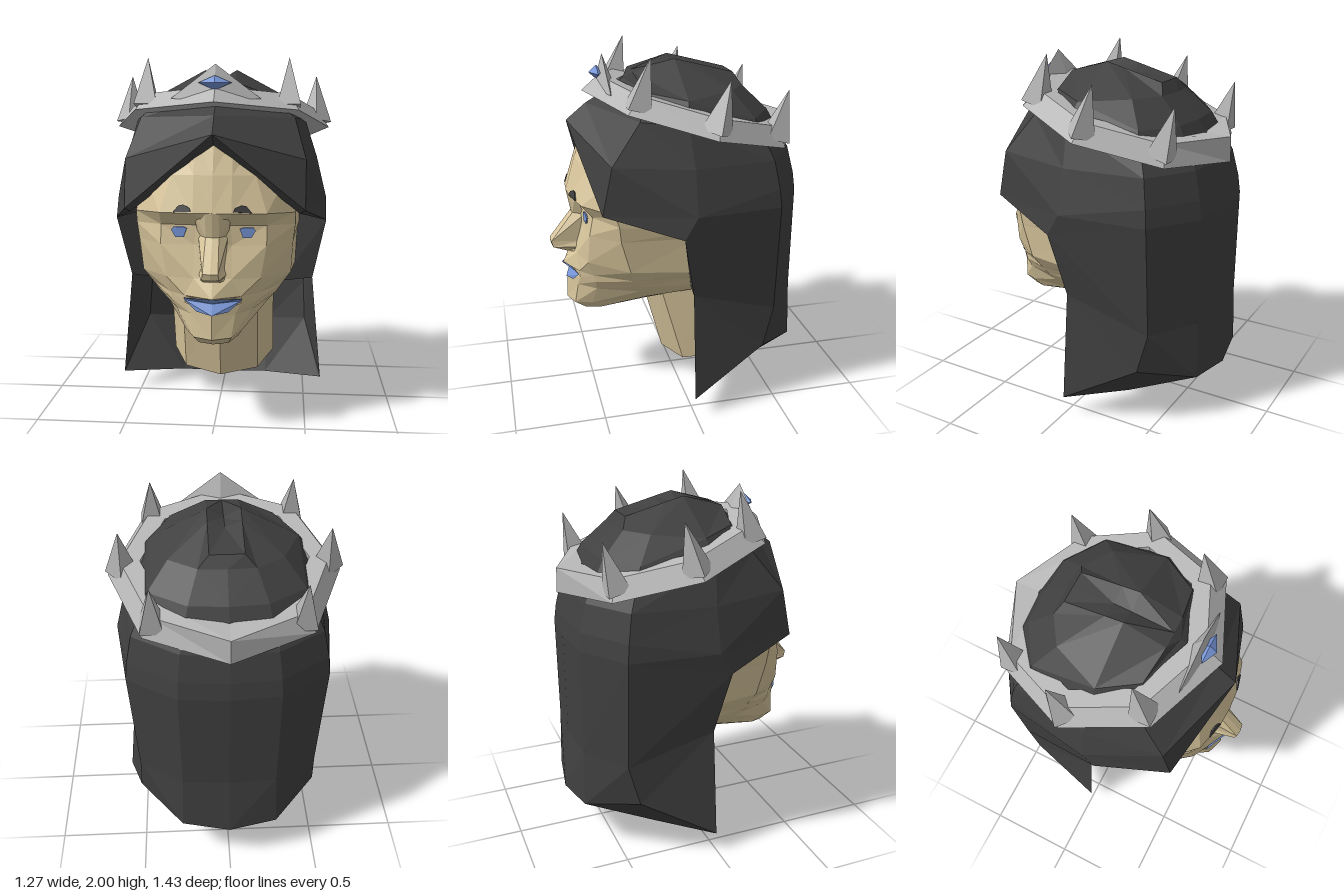
import * as THREE from 'three';

const mat = (name, color) => {
  const m = new THREE.MeshStandardMaterial({ color, flatShading: true, side: THREE.DoubleSide });
  m.name = name;
  return m;
};

// Surface through rows of half cross-sections [x, y, z], mirrored across x = 0
function mirrorLoft(rows, flip = false) {
  const full = rows.map(r => [...r.slice(1).reverse().map(([x, y, z]) => [-x, y, z]), ...r]);
  const pos = [];
  const tri = (a, b, c) => pos.push(...a, ...(flip ? c : b), ...(flip ? b : c));
  for (let i = 0; i < full.length - 1; i++) {
    for (let j = 0; j < full[i].length - 1; j++) {
      const a = full[i][j], b = full[i][j + 1], c = full[i + 1][j + 1], d = full[i + 1][j];
      if (j < rows[i].length - 1) { tri(a, d, c); tri(a, c, b); } else { tri(a, d, b); tri(b, d, c); }
    }
  }
  const g = new THREE.BufferGeometry();
  g.setAttribute('position', new THREE.Float32BufferAttribute(pos, 3));
  g.computeVertexNormals();
  return g;
}

// Thin plate cut from a small outline
function plate(points) {
  const shape = new THREE.Shape(points.map(p => new THREE.Vector2(...p)));
  return new THREE.ExtrudeGeometry(shape, { depth: 0.008, bevelEnabled: false });
}

// One face row: centre depth, three points outward, then the side; the row rises towards the back
function faceRow([y, rise, zc, x1, z1, x2, z2, x3, z3]) {
  return [[0, zc], [x1, z1], [x2, z2], [x3, z3], [x3 + .03, -.05]]
    .map(([x, z]) => [x, y + rise * (zc - z), z]);
}

// Rear half of a hair ring at height y, scaled by s
const hairBack = (y, s) => [[0, -.68], [.27, -.66], [.54, -.48]].map(([x, z]) => [x * s, y, z * s]);

export function createModel() {
  const model = new THREE.Group();
  const skin = mat('skin', 0xd8c69c);
  const dark = mat('dark hair', 0x404040);
  const silver = mat('silver', 0xb8b8b8);
  const blue = mat('blue', 0x7796d8);
  const add = (name, geometry, material, parent = model) => {
    const mesh = new THREE.Mesh(geometry, material);
    mesh.name = name;
    parent.add(mesh);
    return mesh;
  };

  // Face: hairline, forehead, brow, eye, cheekbone, cheek, lips, chin and jaw, closed below
  const faceRows = [
    [1.6, -.3, .48, .1, .46, .22, .4, .34, .28],
    [1.4, -.1, .555, .1, .545, .22, .505, .38, .38],
    [1.21, -.1, .61, .1, .605, .28, .56, .43, .4],
    [1.14, -.1, .57, .09, .53, .28, .5, .43, .38],
    [1.03, 0, .56, .1, .53, .28, .52, .42, .37],
    [.86, -.06, .59, .1, .575, .25, .53, .41, .32],
    [.765, 0, .645, .15, .57, .23, .5, .36, .29],
    [.728, -.04, .59, .15, .565, .23, .49, .33, .27],
    [.67, -.02, .625, .12, .577, .2, .48, .285, .25],
    [.54, .12, .63, .1, .595, .15, .5, .215, .22],
    [.49, .22, .55, .08, .53, .13, .45, .18, .2],
  ].map(faceRow);
  const underJaw = faceRows.at(-1).map(([, y, z]) => [0, y, z]);
  add('face', mirrorLoft([...faceRows, underJaw]), skin);

  // Nose: ridge half-width and depth, then base half-width and depth, closed below
  const noseRows = [
    [1.21, .035, .606, .1, .57],
    [1.08, .035, .582, .08, .52],
    [.915, .04, .71, .065, .54],
    [.88, .045, .7, .075, .56],
    [.85, .04, .62, .07, .57],
    [.85, .04, .575, .06, .57],
  ].map(([y, rx, rz, bx, bz]) => [[0, y, rz + .005], [rx, y, rz], [bx, y, bz]]);
  add('nose', mirrorLoft(noseRows), skin);

  // Lips: the upper one faces down, the lower one faces up
  const mouthLine = [[0, .728, .598], [.15, .742, .575]];
  add('upperLip', mirrorLoft([[[0, .766, .653], [.155, .754, .577]], mouthLine]), blue);
  add('lowerLip', mirrorLoft([mouthLine, [[0, .672, .631], [.085, .687, .6]]]), blue);

  // Eyes and brows
  const eye = plate([[-.042, .018], [-.02, .025], [.03, .024], [.042, .008], [.02, -.03], [-.025, -.028]]);
  const brow = plate([[-.048, -.01], [-.038, .012], [-.008, .028], [.02, .024], [.05, -.01]]);
  for (const s of [1, -1]) {
    const e = add('eye', eye, blue);
    e.position.set(s * .18, 1.1, .523);
    e.rotation.y = s * .1;
    e.scale.x = s;
    const b = add('brow', brow, dark);
    b.position.set(s * .155, 1.222, .585);
    b.rotation.set(-.3, s * .24, 0);
    b.scale.x = s;
  }

  // Neck: eight-sided column leaning forward, with a slanted base
  const neckShape = new THREE.CylinderGeometry(.31, .31, .5, 8);
  const np = neckShape.attributes.position;
  for (let i = 0; i < np.count; i++) {
    const top = np.getY(i) > 0, z = np.getZ(i) * .9;
    np.setXYZ(i, np.getX(i), top ? .66 : .205 - z * .27, z + (top ? -.08 : -.22));
  }
  neckShape.computeVertexNormals();
  add('neck', neckShape, skin);

  // Hair cap: rings from the parting down, each from back centre round to front centre
  const ridge = [[0, 1.85, -.33], [.09, 1.85, -.33], [.09, 1.91, -.1], [.09, 1.935, 0], [.09, 1.87, .23], [0, 1.83, .27]];
  const valley = ridge.map(([, y, z]) => [0, Math.min(y, 1.88), z]);
  const ear = [.61, 1.09, .07];
  add('hairCap', mirrorLoft([
    valley,
    ridge,
    [...hairBack(1.79, .55), [.4, 1.77, 0], [.28, 1.8, .2], [0, 1.79, .32]],
    [...hairBack(1.66, .75), [.48, 1.66, .02], [.42, 1.68, .26], [0, 1.7, .48]],
    [...hairBack(1.45, .925), [.55, 1.45, 0], [.48, 1.47, .42], [0, 1.61, .59]],
    [...hairBack(1.3, .98), [.61, 1.21, 0], [.48, 1.21, .475], [0, 1.61, .59]],
    [...hairBack(1.2, 1), ear, [.45, 1.19, .45], [0, 1.55, .5]],
  ], true), dark);

  // Long hair hanging behind, curling in at the bottom
  add('longHair', mirrorLoft([
    [...hairBack(1.2, 1), ear],
    [[0, .6, -.68], [.26, .6, -.66], [.5, .58, -.48], [.54, .73, 0]],
    [[0, .25, -.715], [.27, .27, -.67], [.51, .35, -.42], [.6, .11, 0]],
    [[0, 0, -.34], [.26, .045, -.24], [.59, .108, -.01], [.6, .11, 0]],
  ], true), dark);

  // Inner hair walls beside the cheeks
  for (const s of [1, -1]) {
    const wall = new THREE.BufferGeometry().setFromPoints(
      [[.61, 1.09, .07], [.42, 1.14, .02], [.36, .7, -.03], [.54, .73, 0]]
        .map(([x, y, z]) => new THREE.Vector3(s * x, y, z)));
    wall.setIndex(s > 0 ? [0, 1, 2, 0, 2, 3] : [0, 2, 1, 0, 3, 2]);
    wall.computeVertexNormals();
    add('innerHair', wall, dark);
  }

  // Crown: eight-sided band tilted back
  const crown = new THREE.Group();
  crown.name = 'crown';
  crown.position.set(0, 1.61, -.1);
  crown.rotation.x = -.262;
  model.add(crown);
  const section = [[.62, 0], [.55, .1], [.445, .1], [.445, 0], [.62, 0]].map(p => new THREE.Vector2(...p));
  const band = new THREE.LatheGeometry(section, 8);
  const bp = band.attributes.position;
  for (let i = 0; i < bp.count; i++) {
    if (bp.getZ(i) < -.5 && bp.getY(i) > .05) bp.setXYZ(i, 0, .13, -.58); // raised back corner
  }
  band.computeVertexNormals();
  add('crownBand', band, silver, crown);

  // Spikes on every corner but the back; the front one is a wide plate
  for (const k of [-3, -2, -1, 1, 2, 3]) {
    const a = k * Math.PI / 4;
    const spike = add('crownSpike', new THREE.ConeGeometry(.088, .27, 4), silver, crown);
    spike.position.set(.545 * Math.sin(a), .165, .545 * Math.cos(a));
    spike.rotation.y = a;
  }
  const front = add('crownFrontPlate', new THREE.ConeGeometry(.06, .18, 4), silver, crown);
  front.position.set(0, .13, .53);
  front.rotation.x = .3;
  front.scale.x = 4;

  // Gem on the front plate
  const gem = add('gem', new THREE.OctahedronGeometry(1), blue);
  gem.scale.set(.088, .038, .042);
  gem.position.set(0, 1.866, .415);

  return model;
}
